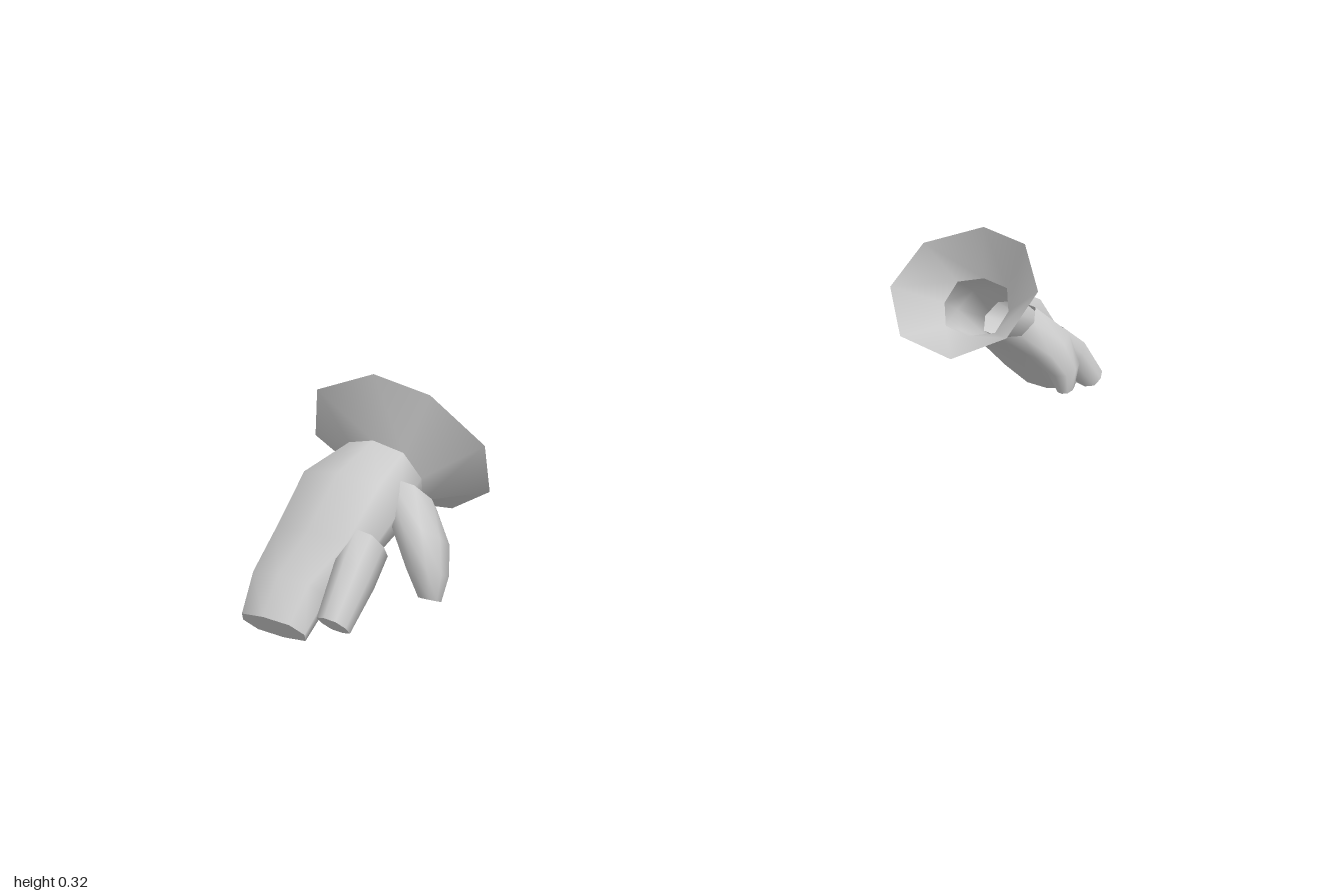
import * as THREE from 'three';

const SIDES = 8;

// Boxy oval ring; the section leans by `deg` in the xy plane and is wide along z.
function ring([x, y, z, halfWidth, halfThick, deg]) {
  const a = THREE.MathUtils.degToRad(deg);
  const soft = v => Math.sign(v) * Math.pow(Math.abs(v), 0.75);
  return Array.from({ length: SIDES }, (_, k) => {
    const t = (k / SIDES) * Math.PI * 2;
    const w = halfWidth * soft(Math.cos(t));
    const n = halfThick * soft(Math.sin(t));
    return [x - Math.sin(a) * n, y + Math.cos(a) * n, z + w];
  });
}

// Skin over rings, smooth along the sides, with an optional flat end cap.
function loft(name, rings, side, capped) {
  const pos = rings.flat();
  const index = [];
  const tri = (a, b, c) => index.push(...(side > 0 ? [a, b, c] : [a, c, b]));
  for (let i = 0; i < rings.length - 1; i++) {
    for (let j = 0; j < SIDES; j++) {
      const k = (j + 1) % SIDES;
      const a = i * SIDES, b = a + SIDES;
      tri(a + j, b + j, a + k);
      tri(b + j, b + k, a + k);
    }
  }
  if (capped) {
    const first = pos.length;
    pos.push(...rings[rings.length - 1]);
    for (let j = 1; j < SIDES - 1; j++) tri(first, first + j + 1, first + j);
  }
  const geometry = new THREE.BufferGeometry();
  const flat = pos.flatMap(([x, y, z]) => [x * side, y, z]);
  geometry.setAttribute('position', new THREE.Float32BufferAttribute(flat, 3));
  geometry.setIndex(index);
  geometry.computeVertexNormals();
  const material = new THREE.MeshStandardMaterial({ color: 0xcccccc, side: THREE.DoubleSide });
  const mesh = new THREE.Mesh(geometry, material);
  mesh.name = name;
  return mesh;
}

// Sections: x, y, z, half width, half thickness, slope in degrees
const WRIST = [0.743, 0.183, 0, 0.066, 0.053, -26];
const PALM = [
  WRIST,
  [0.815, 0.158, 0.005, 0.09, 0.05, -30],
  [0.88, 0.108, 0.01, 0.084, 0.036, -42],
  [0.935, 0.062, 0.005, 0.067, 0.032, -42],
  [0.978, 0.021, 0.016, 0.057, 0.026, -45],
];
const INDEX_FINGER = [
  [0.86, 0.12, 0.075, 0.03, 0.03, -40],
  [0.905, 0.088, 0.094, 0.027, 0.03, -42],
  [0.958, 0.035, 0.106, 0.022, 0.022, -50],
];
const THUMB = [
  [0.765, 0.165, 0.055, 0.05, 0.04, -45],
  [0.797, 0.125, 0.112, 0.036, 0.042, -58],
  [0.812, 0.08, 0.138, 0.025, 0.029, -70],
  [0.814, 0.043, 0.143, 0.013, 0.016, -70],
];
// Flared rim, starting at the front and going over the top
const RIM = [
  [0.705, 0.233, 0.148], [0.75, 0.303, 0.092], [0.762, 0.322, 0], [0.752, 0.283, -0.118],
  [0.714, 0.205, -0.162], [0.66, 0.132, -0.103], [0.633, 0.111, 0.02], [0.66, 0.155, 0.115],
];

function glove(name, side) {
  const group = new THREE.Group();
  group.name = name;
  group.add(
    loft('cuff', [RIM, ring(WRIST)], side, false),
    loft('palmAndFingers', PALM.map(ring), side, true),
    loft('indexFinger', INDEX_FINGER.map(ring), side, true),
    loft('thumb', THUMB.map(ring), side, true),
  );
  return group;
}

export function createModel() {
  const model = new THREE.Group();
  model.name = 'gloves';
  model.add(glove('leftGlove', 1), glove('rightGlove', -1));
  return model;
}
